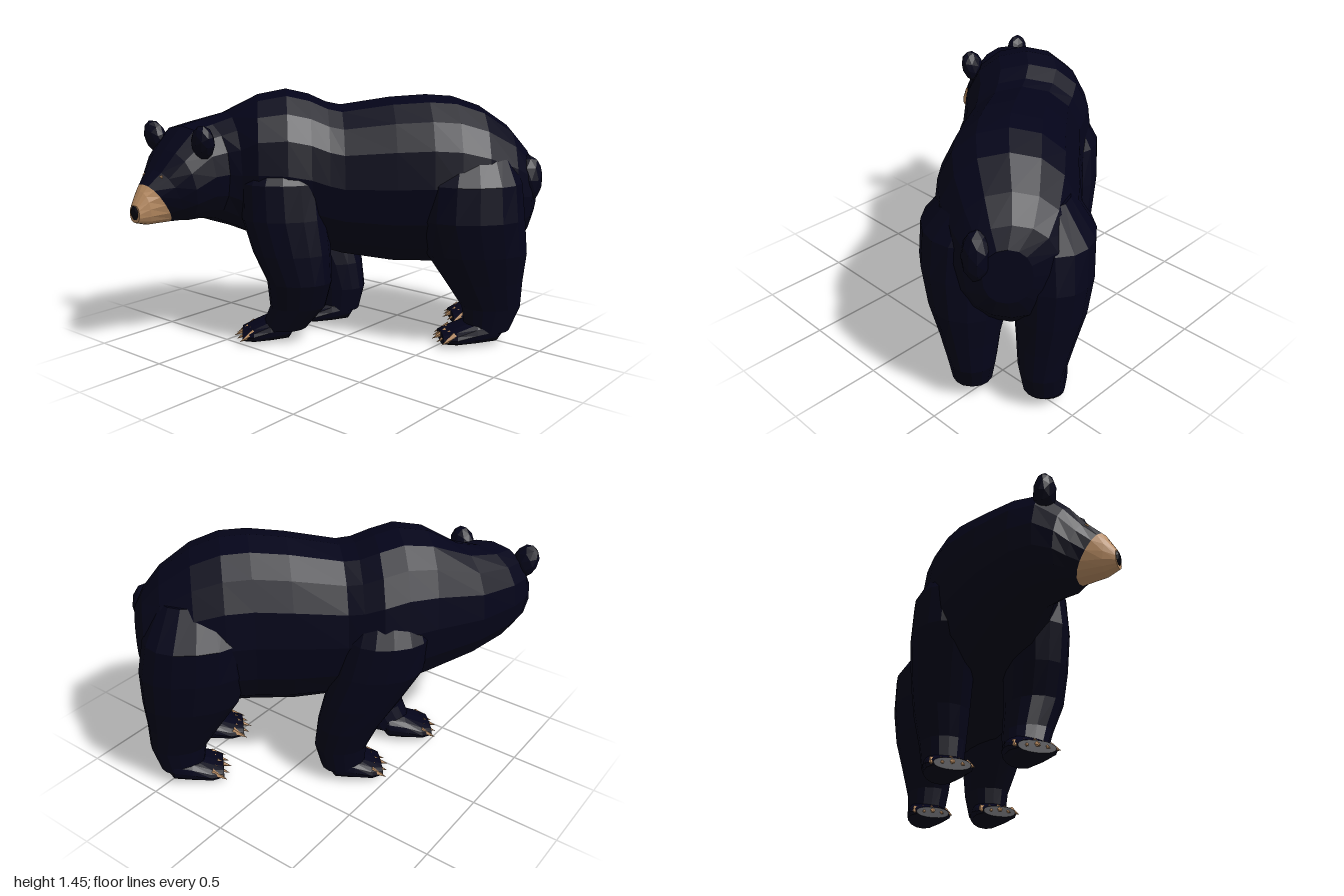
import * as THREE from 'three';

const mat = (name, color) => Object.assign(
  new THREE.MeshStandardMaterial({ color, flatShading: true }), { name });
const UP = new THREE.Vector3(0, 1, 0);
const SIDES = 16;
const BODY_YAW = -Math.PI / 4; // the body stands diagonally, the head turns to +z
const forward = yaw => new THREE.Vector3(Math.sin(yaw), 0, Math.cos(yaw));
const left = yaw => new THREE.Vector3(Math.cos(yaw), 0, -Math.sin(yaw));
// point from body coordinates: leftward, height, forward
const at = (w, y, l) => left(BODY_YAW).multiplyScalar(w)
  .addScaledVector(forward(BODY_YAW), l).setY(y);

// closed, slightly squared oval around c, spanned by the half axes a and b
function ring(c, a, b) {
  const soft = v => Math.sign(v) * Math.pow(Math.abs(v), 0.9);
  return Array.from({ length: SIDES }, (_, i) => {
    const t = (i / SIDES) * Math.PI * 2;
    return c.clone().addScaledVector(a, soft(Math.cos(t))).addScaledVector(b, soft(Math.sin(t)));
  });
}
// upright ring; lean pushes its top forward
const upright = (c, yaw, rx, ry, lean = 0) => ring(c, left(yaw).multiplyScalar(rx),
  UP.clone().multiplyScalar(ry).addScaledVector(forward(yaw), lean));
// level ring for legs
const level = (c, rw, rl) => ring(c, left(BODY_YAW).multiplyScalar(rw),
  forward(BODY_YAW).multiplyScalar(rl));

// skin over a list of rings, capped at both ends
function loft(rings) {
  const pos = [], idx = [], n = rings.length;
  rings.forEach(r => r.forEach(p => pos.push(p.x, p.y, p.z)));
  for (const r of [rings[0], rings[n - 1]]) {
    const c = r.reduce((s, p) => s.add(p), new THREE.Vector3()).divideScalar(SIDES);
    pos.push(c.x, c.y, c.z);
  }
  for (let j = 0; j < SIDES; j++) {
    const k = (j + 1) % SIDES;
    for (let i = 0; i < n - 1; i++) {
      const a = i * SIDES, b = a + SIDES;
      idx.push(a + j, a + k, b + k, a + j, b + k, b + j);
    }
    idx.push(n * SIDES, k, j, n * SIDES + 1, (n - 1) * SIDES + j, (n - 1) * SIDES + k);
  }
  const g = new THREE.BufferGeometry();
  g.setAttribute('position', new THREE.Float32BufferAttribute(pos, 3));
  g.setIndex(idx);
  g.computeVertexNormals();
  return g;
}

export function createModel() {
  const model = new THREE.Group();
  model.name = 'bear';
  const fur = mat('dark fur', 0x040419);
  const tan = mat('tan', 0xb98c62);
  const black = mat('nose black', 0x03030c);
  const add = (name, geo, material, parent = model) => {
    const m = new THREE.Mesh(geo, material);
    m.name = name;
    parent.add(m);
    return m;
  };
  const blob = (name, p, s, material, detail = 1) => {
    const m = add(name, new THREE.IcosahedronGeometry(1, detail), material);
    m.position.copy(p);
    m.scale.set(...s);
    return m;
  };
  const v = (x, y, z) => new THREE.Vector3(x, y, z);

  // torso: forward, leftward, top, bottom, half width
  const torso = [
    [-1.08, -0.02, 1.02, 0.72, 0.12], [-1.03, -0.04, 1.12, 0.60, 0.23],
    [-0.93, -0.04, 1.24, 0.50, 0.30], [-0.76, -0.03, 1.355, 0.45, 0.36],
    [-0.60, -0.03, 1.41, 0.45, 0.38], [-0.45, -0.04, 1.42, 0.45, 0.375],
    [-0.25, -0.07, 1.405, 0.45, 0.365], [0.03, -0.11, 1.36, 0.49, 0.35],
    [0.11, -0.13, 1.375, 0.51, 0.36], [0.21, -0.15, 1.42, 0.53, 0.37],
    [0.34, -0.14, 1.45, 0.55, 0.37], [0.50, -0.13, 1.42, 0.59, 0.34],
  ].map(([l, w, t, b, hw]) => upright(at(w, (t + b) / 2, l), BODY_YAW, hw, (t - b) / 2));

  // neck and head: x, centre y, z, yaw, half width, half height, lean
  const snoutStart = upright(v(-0.66, 0.85, 0.855), 0, 0.098, 0.115, 0.075);
  const head = [
    [-0.565, 0.995, 0.40, -0.45, 0.285, 0.33, 0],
    [-0.63, 1.0, 0.53, -0.1, 0.26, 0.285, 0],
    [-0.64, 0.995, 0.64, 0, 0.25, 0.265, 0.025],
    [-0.65, 0.935, 0.74, 0, 0.21, 0.205, 0.04],
    [-0.655, 0.885, 0.80, 0, 0.15, 0.15, 0.06],
  ].map(([x, y, z, yaw, rx, ry, lean]) => upright(v(x, y, z), yaw, rx, ry, lean));
  add('body and head', loft([...torso, ...head, snoutStart]), fur);

  // muzzle, nose, eyes, ears, tail
  add('muzzle', loft([snoutStart,
    upright(v(-0.662, 0.835, 0.935), 0, 0.070, 0.095, 0.015),
    upright(v(-0.665, 0.81, 0.988), 0, 0.042, 0.05)]), tan);
  blob('nose', v(-0.667, 0.815, 0.979), [0.037, 0.045, 0.021], black);
  for (const s of [-1, 1]) {
    blob('eye', v(-0.658 + s * 0.068, 1.0, 0.858), [0.018, 0.015, 0.013], tan, 0);
    const ear = blob('ear', v(-0.635 + s * 0.2, 1.185, 0.69), [0.073, 0.1, 0.055], fur);
    ear.rotation.set(0.2, 0, -s * 0.3);
  }
  const tail = blob('tail', at(0.12, 0.95, -1.02), [0.08, 0.14, 0.085], fur);
  tail.rotation.y = BODY_YAW;

  // legs from top to ankle: height, forward, leftward, half width, half length
  // foot: leftward, heel position, length
  const legs = {
    frontLeftLeg: { foot: [0.0, 0.30, 0.33], rings: [
      [1.15, 0.36, 0.02, 0.12, 0.14], [0.95, 0.37, 0.07, 0.18, 0.23], [0.75, 0.36, 0.09, 0.175, 0.24],
      [0.55, 0.32, 0.10, 0.165, 0.22], [0.38, 0.28, 0.10, 0.155, 0.185], [0.22, 0.29, 0.06, 0.13, 0.16],
      [0.08, 0.37, 0.02, 0.11, 0.13]] },
    frontRightLeg: { foot: [-0.33, -0.08, 0.34], rings: [
      [1.15, 0.26, -0.32, 0.13, 0.16], [0.95, 0.25, -0.37, 0.19, 0.23], [0.75, 0.21, -0.38, 0.185, 0.24],
      [0.55, 0.12, -0.37, 0.165, 0.21], [0.38, 0.05, -0.35, 0.15, 0.175], [0.22, 0.01, -0.33, 0.125, 0.15],
      [0.08, 0.02, -0.33, 0.11, 0.125]] },
    hindLeftLeg: { foot: [0.16, -0.90, 0.39], rings: [
      [1.15, -0.70, 0.08, 0.17, 0.20], [0.95, -0.68, 0.15, 0.26, 0.29], [0.75, -0.68, 0.17, 0.255, 0.31],
      [0.55, -0.72, 0.175, 0.215, 0.29], [0.38, -0.77, 0.17, 0.165, 0.225], [0.22, -0.82, 0.16, 0.13, 0.17],
      [0.08, -0.80, 0.16, 0.11, 0.13]] },
    hindRightLeg: { foot: [-0.22, -1.0, 0.35], rings: [
      [1.15, -0.74, -0.18, 0.15, 0.20], [0.95, -0.76, -0.24, 0.22, 0.28], [0.75, -0.78, -0.25, 0.21, 0.30],
      [0.55, -0.81, -0.24, 0.19, 0.27], [0.38, -0.86, -0.22, 0.155, 0.21], [0.22, -0.91, -0.20, 0.125, 0.16],
      [0.08, -0.90, -0.21, 0.11, 0.125]] },
  };
  // foot along its length: share of length, half width, top, bottom
  const sole = [[0, 0.06, 0.16, 0.08], [0.14, 0.10, 0.17, 0.01], [0.45, 0.12, 0.15, 0],
    [0.75, 0.13, 0.10, 0], [0.95, 0.10, 0.07, 0.005]];
  for (const [name, { foot: [w, heel, len], rings }] of Object.entries(legs)) {
    const leg = new THREE.Group();
    leg.name = name;
    model.add(leg);
    add('limb', loft(rings.map(([y, l, lw, rw, rl]) => level(at(lw, y, l), rw, rl))), fur, leg);
    add('foot', loft(sole.map(([t, hw, top, bottom]) =>
      upright(at(w, (top + bottom) / 2, heel + t * len), BODY_YAW, hw, (top - bottom) / 2))), fur, leg);
    // five claws fanned across the toes, pointing forward and down
    for (let i = -2; i <= 2; i++) {
      const claw = add('claw', new THREE.ConeGeometry(0.025, 0.1, 5), tan, leg);
      claw.position.copy(at(w + i * 0.052, 0.046, heel + len * 0.965 - Math.abs(i) * 0.016));
      claw.quaternion.setFromUnitVectors(UP,
        forward(BODY_YAW + i * 0.15).setY(-0.5).normalize());
    }
  }
  return model;
}
